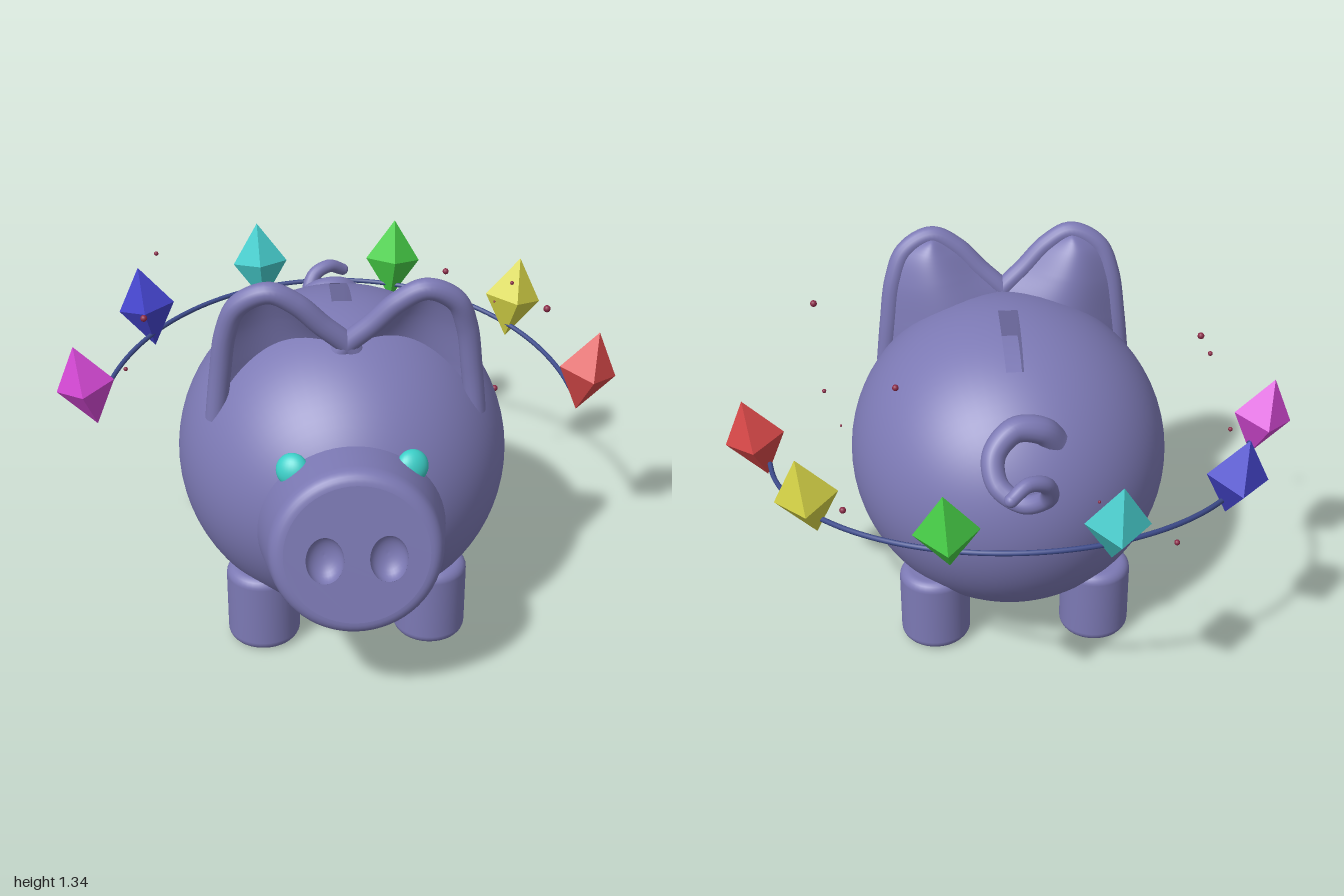
import * as THREE from 'three';
import { mergeGeometries } from 'three/addons/utils/BufferGeometryUtils.js';
import { ParametricGeometry } from 'three/addons/geometries/ParametricGeometry.js';

const V2 = (x, y) => new THREE.Vector2(x, y);
const V3 = (x, y, z) => new THREE.Vector3(x, y, z);

function paint(name, hex) {
  const m = new THREE.MeshStandardMaterial({ color: hex });
  m.name = name;
  return m;
}

// Quarter-round profile points, centre (cx, cy), from angle a0 to a1
function arc(cx, cy, r, a0, a1, n = 6) {
  return Array.from({ length: n + 1 }, (_, i) => {
    const a = a0 + (a1 - a0) * i / n;
    return V2(cx + r * Math.cos(a), cy + r * Math.sin(a));
  });
}

export function createModel() {
  const model = new THREE.Group();
  const skin = paint('lavender skin', 0x7c79b4);
  const eyeMat = paint('turquoise eye', 0x3ccfc8);
  const ringMat = paint('navy ring', 0x3e4c8c);
  const sparkMat = paint('crimson spark', 0x8c2a48);
  const gemMats = [
    paint('red gem', 0xd64848), paint('yellow gem', 0xd4d246), paint('green gem', 0x46cc46),
    paint('cyan gem', 0x46cccc), paint('blue gem', 0x4444cc), paint('magenta gem', 0xd448d4),
  ];
  const add = (name, geometry, material, parent = model) => {
    const mesh = new THREE.Mesh(geometry, material);
    mesh.name = name;
    parent.add(mesh);
    return mesh;
  };

  // Body: ellipsoid with its poles front and back, leaving a gap for the coin slot
  const R = V3(0.57, 0.55, 0.615), half = 0.06, t1 = 1.563, t2 = 2.09;
  const top = Math.PI * 1.5;
  const piece = (w, h, ...range) =>
    new THREE.SphereGeometry(1, w, h, ...range).rotateX(Math.PI / 2).scale(R.x, R.y, R.z);
  const body = add('body', mergeGeometries([
    piece(72, 48, top + half, Math.PI * 2 - 2 * half, 0, Math.PI),
    piece(2, 24, top - half, 2 * half, 0, t1),
    piece(2, 16, top - half, 2 * half, t2, Math.PI - t2),
  ]), skin);
  body.position.set(0, 0.595, 0.125);

  // Coin slot: inward-facing box whose rim follows the back
  const pit = new THREE.BoxGeometry(1, 1, 1, 1, 1, 8);
  const pp = pit.attributes.position;
  for (let i = 0; i < pp.count; i++) {
    const t = t1 + (0.5 - pp.getZ(i)) * (t2 - t1), rho = Math.sin(t);
    const drop = pp.getY(i) < 0 ? 0.1 : 0;
    pp.setXYZ(i, Math.sign(pp.getX(i)) * R.x * rho * Math.sin(half),
      R.y * rho * Math.cos(half) - drop, R.z * Math.cos(t));
  }
  pit.index.array.reverse();
  pit.computeVertexNormals();
  add('coinSlot', pit, skin).position.copy(body.position);

  // Snout: tapered drum tilted upwards, flat face with two nostril bowls
  const snout = new THREE.Group();
  snout.name = 'snout';
  snout.position.set(0, 0.622, 0.877);
  snout.rotation.x = THREE.MathUtils.degToRad(79.5);
  model.add(snout);
  add('snoutSide', new THREE.LatheGeometry(
    [V2(0.332, -0.42), V2(0.303, -0.22), V2(0.278, -0.05), ...arc(0.23, -0.045, 0.045, 0.14, Math.PI / 2)], 64), skin, snout);
  const face = new THREE.Shape().absarc(0, 0, 0.23, 0, Math.PI * 2);
  for (const s of [-1, 1]) {
    face.holes.push(new THREE.Path().absellipse(s * 0.1, -0.015, 0.06, 0.078, 0, Math.PI * 2, true));
    const bowl = new THREE.LatheGeometry(arc(0, 0, 1, 0, -Math.PI / 2, 8), 32).scale(0.06, 0.05, 0.078);
    add('nostril', bowl, skin, snout).position.set(s * 0.1, 0, 0.015);
  }
  add('snoutFace', new THREE.ShapeGeometry(face, 32).rotateX(-Math.PI / 2), skin, snout);

  // Legs: rounded drums
  const legGeo = new THREE.LatheGeometry([V2(0, 0), ...arc(0.09, 0.035, 0.035, -Math.PI / 2, 0),
    ...arc(0.09, 0.255, 0.035, 0, Math.PI / 2), V2(0, 0.29)], 40);
  for (const s of [-1, 1]) {
    add('frontLeg', legGeo, skin).position.set(s * 0.29, 0, 0.405);
    add('backLeg', legGeo, skin).position.set(s * 0.29, 0, -0.185);
  }

  // Eyes: flattened beads set on the body surface
  for (const s of [-1, 1]) {
    const eye = add('eye', new THREE.SphereGeometry(1, 28, 20).scale(0.054, 0.054, 0.036), eyeMat);
    eye.position.set(s * 0.19, 0.81, 0.662);
    eye.lookAt(s * 0.19 + s * 0.58, 0.81 + 0.55, 0.662 + 1.42);
  }

  // Ears: rounded rim with a dish that bulges backwards
  const rim = [[0.43, 0.84, 0.36], [0.412, 1.0, 0.362], [0.388, 1.16, 0.375], [0.345, 1.26, 0.395],
    [0.25, 1.307, 0.41], [0.165, 1.265, 0.405], [0.08, 1.18, 0.39], [0, 1.105, 0.375], [-0.03, 1.06, 0.37]];
  for (const s of [-1, 1]) {
    const ear = new THREE.Group();
    ear.name = s > 0 ? 'leftEar' : 'rightEar';
    model.add(ear);
    const curve = new THREE.CatmullRomCurve3(rim.map(([x, y, z]) => V3(x * s, y, z)));
    add('earRim', new THREE.TubeGeometry(curve, 64, 0.036, 16), skin, ear);
    const dish = (depth, forward) => new ParametricGeometry((u, v, out) => {
      const k = v * 0.98, w = (s > 0) === forward ? 1 - u : u;
      out.copy(curve.getPoint(k / 2)).lerp(curve.getPoint(1 - k / 2), w);
      out.z -= depth * Math.sin(Math.PI * u) * Math.sqrt(1 - k) + (forward ? 0 : 0.02);
    }, 24, 24);
    add('earInside', dish(0.09, true), skin, ear);
    add('earBack', dish(0.115, false), skin, ear);
  }

  // Tail: tapering corkscrew
  const tailCurve = new THREE.CatmullRomCurve3([
    V3(-0.12, 0.89, -0.33), V3(-0.07, 0.95, -0.355), V3(0.02, 0.965, -0.375), V3(0.09, 0.9, -0.42),
    V3(0.08, 0.82, -0.48), V3(0, 0.78, -0.53), V3(-0.075, 0.83, -0.575), V3(-0.06, 0.91, -0.62),
    V3(0, 0.935, -0.655), V3(0.055, 0.905, -0.69)]);
  const tail = new THREE.TubeGeometry(tailCurve, 80, 0.05, 16);
  const tp = tail.attributes.position, p = V3();
  for (let i = 0; i < tp.count; i++) {
    const t = Math.floor(i / 17) / 80, c = tailCurve.getPointAt(t);
    p.fromBufferAttribute(tp, i).sub(c).multiplyScalar(1 - 0.55 * t).add(c);
    tp.setXYZ(i, p.x, p.y, p.z);
  }
  add('tail', tail, skin);
  add('tailTip', new THREE.SphereGeometry(0.0225, 16, 12), skin).position.copy(tailCurve.getPoint(1));

  // Half ring, rising towards the back
  const ringPoints = Array.from({ length: 25 }, (_, i) => {
    const a = THREE.MathUtils.degToRad(6 + 168 * i / 24), z = 0.03 - 0.855 * Math.sin(a);
    return V3(0.855 * Math.cos(a), 0.665 - 0.164 * z, z);
  });
  add('ring', new THREE.TubeGeometry(new THREE.CatmullRomCurve3(ringPoints), 96, 0.009, 8), ringMat);

  // Gems: stretched octahedra leaning outwards along the ring
  const gemGeo = new THREE.OctahedronGeometry(1).scale(0.105, 0.155, 0.105);
  gemMats.forEach((mat, i) => {
    const a = THREE.MathUtils.degToRad(5 + 34 * i);
    const x = Math.cos(a), z = -Math.sin(a);
    const gem = add('gem', gemGeo, mat);
    gem.position.set(0.9 * x, 0.762 - 0.155 * (0.044 + 0.9 * z), 0.044 + 0.9 * z);
    gem.quaternion.setFromUnitVectors(V3(0, 1, 0), V3(x * 0.22, 1, z * 0.22).normalize());
  });

  // Floating sparks: x, y, z, radius
  const sparks = [
    [0.675, 1.145, 0.235, 0.012], [-0.635, 1.165, -0.27, 0.008], [0.6, 0.595, -0.25, 0.012],
    [0.635, 1.045, -0.205, 0.007], [-0.67, 1.06, 0.045, 0.012], [0.4, 1.075, -0.255, 0.011],
    [0.585, 0.945, -0.265, 0.004], [-0.23, 0.85, -0.64, 0.005], [-0.525, 0.555, -0.475, 0.01],
    [-0.76, 0.78, -0.13, 0.008],
  ];
  for (const [x, y, z, r] of sparks) {
    add('spark', new THREE.SphereGeometry(r, 12, 8), sparkMat).position.set(x, y, z);
  }
  return model;
}
